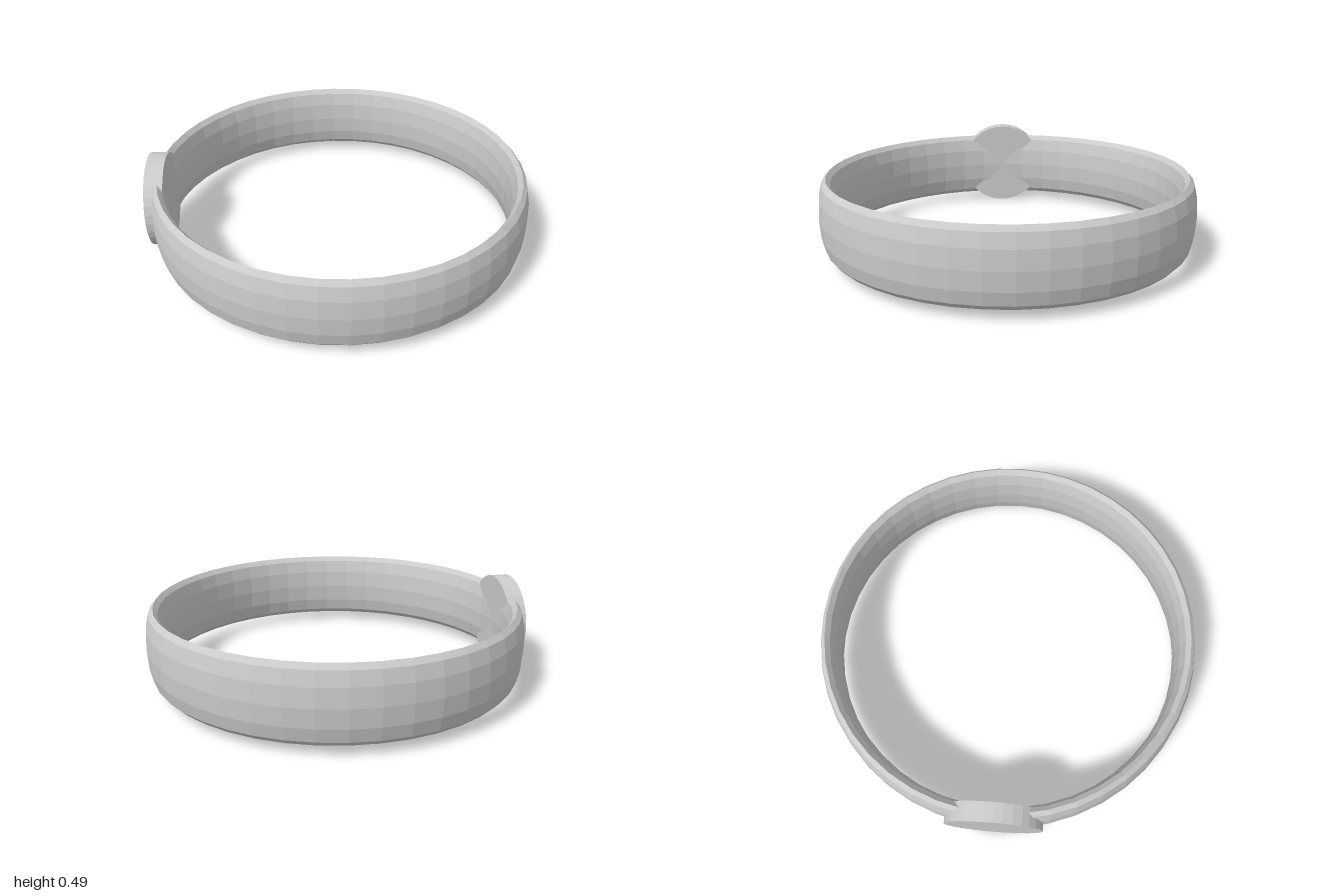
import * as THREE from 'three';

const material = new THREE.MeshStandardMaterial({ color: 0xcccccc, flatShading: true });

export function createModel() {
  const group = new THREE.Group();
  group.name = 'bracelet';

  // Band: a ring whose twelve-sided section is a tall, thin ellipse
  const section = [];
  for (let i = 0; i <= 12; i++) {
    const a = (i / 12) * Math.PI * 2;
    section.push(new THREE.Vector2(0.951 + 0.046 * Math.cos(a), 0.19 * Math.sin(a)));
  }
  const band = new THREE.Mesh(new THREE.LatheGeometry(section, 44), material);
  band.name = 'band';
  band.position.y = 0.24;
  group.add(band);

  // Round plate set into the right side of the band, facing outwards
  const plateGeometry = new THREE.CylinderGeometry(0.247, 0.247, 0.095, 32);
  plateGeometry.rotateZ(Math.PI / 2);
  const plate = new THREE.Mesh(plateGeometry, material);
  plate.name = 'roundPlate';
  plate.position.set(-0.9525, 0.247, 0.005);
  group.add(plate);

  return group;
}
